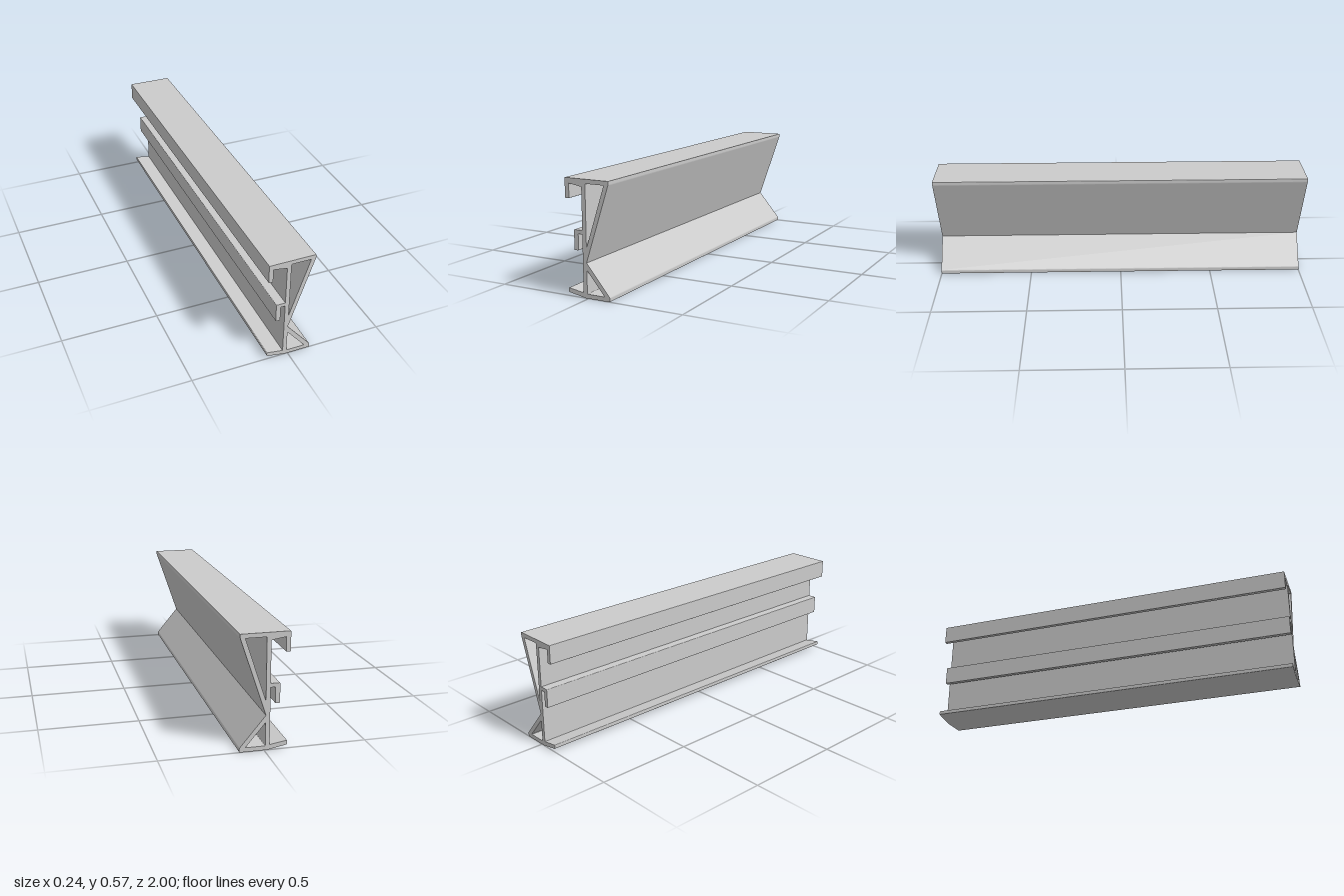
import * as THREE from 'three';

// Trace a closed loop of [x, y, radius] corners, rounding each by its radius
function roundedLoop(path, corners) {
  const n = corners.length;
  const toward = (a, b, r) => {
    const d = Math.hypot(b[0] - a[0], b[1] - a[1]);
    return [a[0] + ((b[0] - a[0]) * r) / d, a[1] + ((b[1] - a[1]) * r) / d];
  };
  corners.forEach((c, i) => {
    const r = c[2] ?? 0;
    const start = toward(c, corners[(i + n - 1) % n], r);
    const end = toward(c, corners[(i + 1) % n], r);
    if (i === 0) path.moveTo(...start);
    else path.lineTo(...start);
    if (r > 0) path.quadraticCurveTo(c[0], c[1], ...end);
  });
  path.closePath();
  return path;
}

export function createModel() {
  const group = new THREE.Group();
  const r = 0.004;

  // Outer outline, counter-clockwise from the upper left corner
  const profile = roundedLoop(new THREE.Shape(), [
    [-0.119, 0.567, 0.002],
    // top hook lip
    [-0.119, 0.47, r], [-0.097, 0.47, r], [-0.097, 0.541, 0.002], [-0.027, 0.53, r],
    // middle hook
    [-0.027, 0.325], [-0.073, 0.325, r], [-0.073, 0.227, r],
    [-0.05, 0.227, r], [-0.05, 0.306, 0.002], [-0.027, 0.306],
    // bottom flange
    [-0.027, 0.026, 0.002], [-0.112, 0.04, r], [-0.112, 0.019, r], [-0.014, 0.001],
    [0.119, 0.001, r], [0.119, 0.021, r],
    // sloping faces meeting at the waist
    [-0.007, 0.172], [0.119, 0.549, r], [0.119, 0.567, 0.002],
  ]);

  // Triangular hollows
  const hollows = [
    [[-0.006, 0.546, r], [0.095, 0.546, r], [-0.006, 0.242, r]],
    [[-0.006, 0.137, r], [0.09, 0.022, r], [-0.006, 0.022, r]],
  ];
  hollows.forEach((h) => profile.holes.push(roundedLoop(new THREE.Path(), h)));

  const geometry = new THREE.ExtrudeGeometry(profile, {
    depth: 2, bevelEnabled: false, curveSegments: 4,
  });
  geometry.translate(0, -0.001, -1);

  const rail = new THREE.Mesh(geometry, new THREE.MeshStandardMaterial({ color: 0xcccccc }));
  rail.name = 'extrudedRail';
  group.add(rail);
  return group;
}
